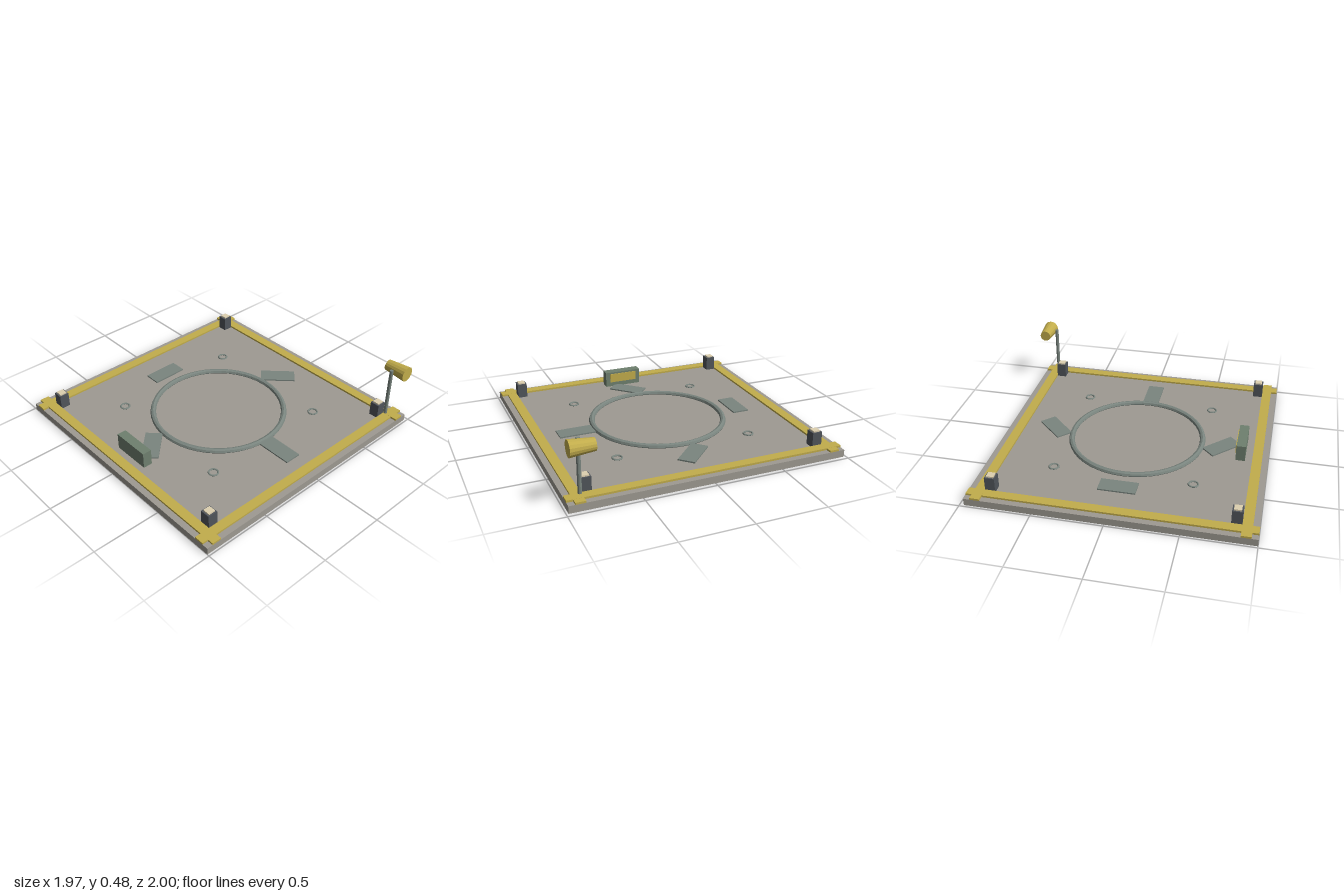
import * as THREE from 'three';

const mat = (color) => new THREE.MeshStandardMaterial({ color, flatShading: true });

export function createModel() {
  const model = new THREE.Group();
  const stone = mat(0x9e9a92), yellow = mat(0xc2ad4c), dark = mat(0x50555b);
  const cream = mat(0xddd0b0), steel = mat(0x7a857f), green = mat(0x6f806f);
  const S = 1.97, TOP = 0.052, CZ = 0.015; // slab size, slab top, slab centre in z

  const add = (name, geometry, material, x, y, z) => {
    const mesh = new THREE.Mesh(geometry, material);
    mesh.name = name;
    mesh.position.set(x, y, z);
    model.add(mesh);
    return mesh;
  };
  // box given by its bottom height
  const box = (name, material, w, h, d, x, y0, z) =>
    add(name, new THREE.BoxGeometry(w, h, d), material, x, y0 + h / 2, z);

  // base slab
  box('baseSlab', stone, S, TOP, S, 0, 0, CZ);

  // crossing border stripes
  for (const s of [-1, 1]) {
    box('borderStripeAcross', yellow, S, 0.014, 0.069, 0, TOP, CZ + s * 0.906);
    box('borderStripeAlong', yellow, 0.069, 0.0135, S, s * 0.906, TOP, CZ);
  }

  // corner posts with lamp caps, and floor anchor rings
  for (const sx of [-1, 1]) for (const sz of [-1, 1]) {
    const px = sx * 0.835, pz = CZ + sz * 0.835;
    box('cornerPost', dark, 0.072, 0.108, 0.072, px, TOP, pz);
    box('postCap', cream, 0.052, 0.012, 0.052, px, 0.158, pz);
    add('anchorRing', new THREE.TorusGeometry(0.033, 0.007, 6, 20), steel,
      sx * 0.5, TOP + 0.002, CZ + sz * 0.5).rotation.x = -Math.PI / 2;
  }

  // central ring
  add('centreRing', new THREE.TorusGeometry(0.491, 0.021, 8, 48), steel,
    0, 0.057, CZ).rotation.x = -Math.PI / 2;

  // four floor plates, each turned by half its angle around the ring
  for (let i = 0; i < 4; i++) {
    const a = i * Math.PI / 2;
    box('floorPlate', steel, 0.267, 0.01, 0.123,
      0.637 * Math.cos(a), TOP, CZ - 0.637 * Math.sin(a)).rotation.y = a / 2;
  }

  // control console with its panel facing the ring
  box('console', green, 0.29, 0.12, 0.068, 0, TOP, 0.801);
  box('consolePanel', yellow, 0.22, 0.07, 0.01, 0, 0.088, 0.766);

  // signal pole and tapered horn
  add('signalPole', new THREE.CylinderGeometry(0.014, 0.014, 0.393, 10), steel,
    0.88, TOP + 0.1965, -0.868);
  add('signalHorn', new THREE.CylinderGeometry(0.042, 0.057, 0.17, 16), yellow,
    0.88, 0.419, -0.943).rotation.z = Math.PI / 2;

  return model;
}
